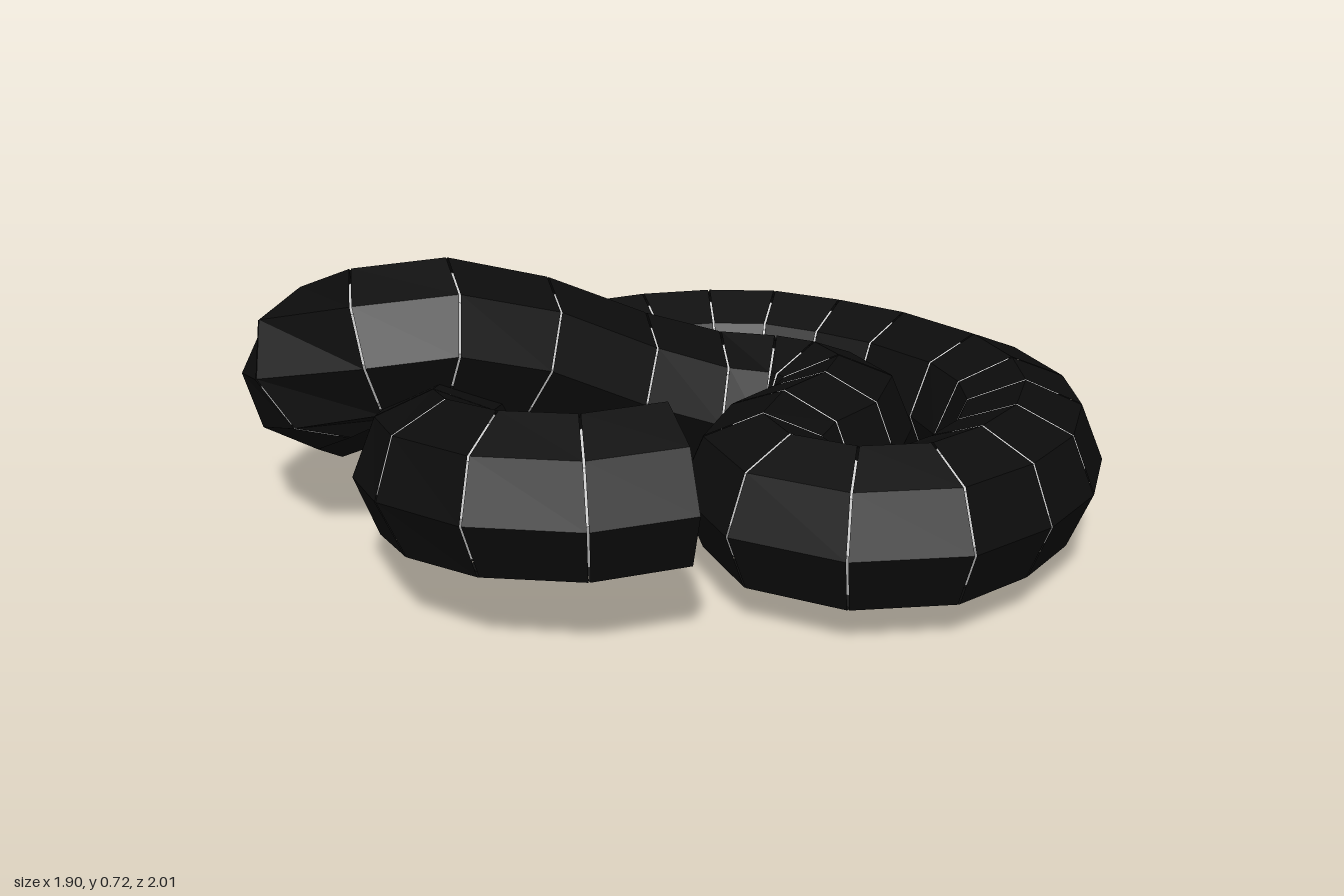
import * as THREE from 'three';

const SIDES = 8, OUTER = 0.197, INNER = 0.162, GAP = 0.0025;

// centre line of the hose, one station per seam
const PATH = [
  [-0.46, 0.345, 0.39], [-0.64, 0.34, 0.3], [-0.74, 0.335, 0.15], [-0.755, 0.325, 0], [-0.67, 0.285, -0.17],
  [-0.5, 0.23, -0.34], [-0.34, 0.2, -0.48], [-0.16, 0.205, -0.58], [0.03, 0.23, -0.615], [0.21, 0.24, -0.595],
  [0.38, 0.24, -0.535], [0.54, 0.24, -0.43], [0.66, 0.24, -0.29], [0.73, 0.235, -0.11], [0.755, 0.235, 0.1],
  [0.72, 0.235, 0.36], [0.62, 0.235, 0.55], [0.49, 0.235, 0.68], [0.32, 0.235, 0.77], [0.14, 0.235, 0.8],
  [-0.03, 0.235, 0.785], [-0.16, 0.235, 0.68], [-0.205, 0.235, 0.52], [-0.14, 0.235, 0.38], [0.02, 0.235, 0.305],
  [0.2, 0.235, 0.285], [0.33, 0.235, 0.22], [0.375, 0.235, 0.1], [0.34, 0.235, -0.02], [0.2, 0.255, -0.13],
  [0, 0.33, -0.24], [-0.25, 0.455, -0.335], [-0.46, 0.525, -0.41], [-0.6, 0.515, -0.49], [-0.665, 0.46, -0.6],
  [-0.59, 0.385, -0.735], [-0.42, 0.29, -0.845],
].map((p) => new THREE.Vector3(...p));

const tangentAt = (i) =>
  PATH[Math.min(i + 1, PATH.length - 1)].clone().sub(PATH[Math.max(i - 1, 0)]).normalize();

// octagonal ring across the hose at station i, nudged along the hose by shift
function ring(i, radius, shift = 0) {
  const t = tangentAt(i);
  const side = new THREE.Vector3().crossVectors(t, new THREE.Vector3(0, 1, 0)).normalize();
  const up = new THREE.Vector3().crossVectors(side, t);
  return Array.from({ length: SIDES }, (_, k) => {
    const a = (k / SIDES) * Math.PI * 2;
    return PATH[i].clone()
      .addScaledVector(t, shift)
      .addScaledVector(side, Math.cos(a) * radius)
      .addScaledVector(up, Math.sin(a) * radius);
  });
}

// skin of quads between successive rings, outward facing
function loft(rings) {
  const pos = [], index = [];
  rings.forEach((r) => r.forEach((v) => pos.push(v.x, v.y, v.z)));
  for (let j = 0; j < rings.length - 1; j++) {
    for (let k = 0; k < SIDES; k++) {
      const a = j * SIDES + k, b = j * SIDES + ((k + 1) % SIDES);
      index.push(a, b, a + SIDES, b, b + SIDES, a + SIDES);
    }
  }
  const g = new THREE.BufferGeometry();
  g.setAttribute('position', new THREE.Float32BufferAttribute(pos, 3));
  g.setIndex(index);
  g.computeVertexNormals();
  return g;
}

export function createModel() {
  const group = new THREE.Group();
  group.name = 'coiledHose';
  const black = new THREE.MeshStandardMaterial({ color: 0x0c0c0c, flatShading: true, side: THREE.DoubleSide });
  const grey = new THREE.MeshStandardMaterial({ color: 0xcccccc, flatShading: true, side: THREE.DoubleSide });
  const add = (name, geometry, material) => {
    const mesh = new THREE.Mesh(geometry, material);
    mesh.name = name;
    group.add(mesh);
  };
  const last = PATH.length - 1;

  // outer sleeve in short segments with fine seams between them
  for (let i = 0; i < last; i++) {
    add('sleeveSegment', loft([
      ring(i, OUTER, i === 0 ? 0 : GAP),
      ring(i + 1, OUTER, i + 1 === last ? 0 : -GAP),
    ]), black);
  }

  // inner lining seen through the open ends and the seams
  add('lining', loft(PATH.map((_, i) => ring(i, INNER))), grey);

  // wall thickness at the two open ends
  add('startRim', loft([ring(0, INNER), ring(0, OUTER)]), black);
  add('endRim', loft([ring(last, OUTER), ring(last, INNER)]), black);

  return group;
}
